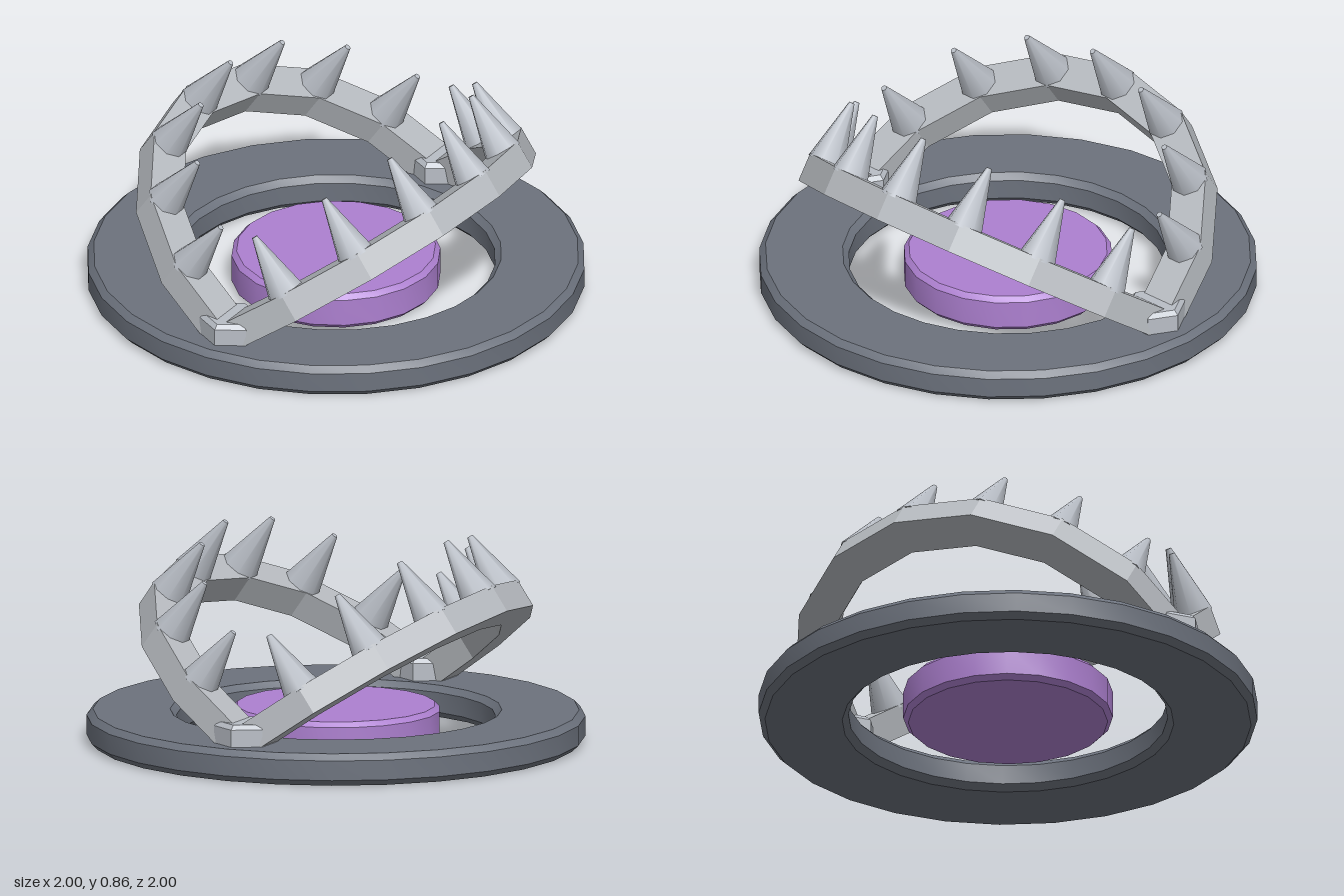
import * as THREE from 'three';
import { toCreasedNormals } from 'three/addons/utils/BufferGeometryUtils.js';

const PIVOT_Y = 0.13, TILT = THREE.MathUtils.degToRad(35);
const JAW_OUTER = 0.895, JAW_INNER = 0.745, JAW_THICK = 0.12, JAW_STEPS = 8;

const material = (name, color) => {
  const m = new THREE.MeshStandardMaterial({ color });
  m.name = name;
  return m;
};

function part(name, geometry, mat, parent) {
  const mesh = new THREE.Mesh(geometry, mat);
  mesh.name = name;
  parent.add(mesh);
  return mesh;
}

// Turned solid from [radius, height] pairs, with sharp bevel edges
function turned(profile, sides) {
  const points = profile.map(([r, y]) => new THREE.Vector2(r, y));
  return toCreasedNormals(new THREE.LatheGeometry(points, sides), 0.5);
}

// Bevelled solid disc
const disc = (r, y0, y1, b, sides) => turned(
  [[0, y0], [r - b, y0], [r, y0 + b], [r, y1 - b], [r - b, y1], [0, y1]], sides);

// Faceted half ring lying flat, bulging towards +x
function jawGeometry() {
  const outer = [], inner = [];
  for (let i = 0; i <= JAW_STEPS; i++) {
    const a = -Math.PI / 2 + (i / JAW_STEPS) * Math.PI;
    outer.push(new THREE.Vector2(Math.cos(a), Math.sin(a)).multiplyScalar(JAW_OUTER));
    inner.unshift(new THREE.Vector2(Math.cos(a), Math.sin(a)).multiplyScalar(JAW_INNER));
  }
  const geo = new THREE.ExtrudeGeometry(new THREE.Shape([...outer, ...inner]),
    { depth: JAW_THICK, bevelEnabled: false });
  return geo.translate(0, 0, -JAW_THICK / 2).rotateX(-Math.PI / 2);
}

export function createModel() {
  const model = new THREE.Group();
  model.name = 'jawTrap';
  const iron = material('dark iron', 0x6c727d);
  const steel = material('light steel', 0xb6babf);
  const toothSteel = material('tooth steel', 0xb9bec6);
  const purple = material('purple plate', 0xad80d0);

  // Base ring
  const b = 0.025;
  part('baseRing', turned([
    [0.64 + b, 0], [1 - b, 0], [1, b], [1, 0.13 - b], [1 - b, 0.13],
    [0.64 + b, 0.13], [0.64, 0.13 - b], [0.64, b], [0.64 + b, 0],
  ], 28), iron, model);

  // Pressure plate
  part('pressurePlate', disc(0.42, 0, 0.152, 0.02, 20), purple, model);

  // Hexagonal hinge posts, front and back
  for (const s of [1, -1]) {
    const post = part(s > 0 ? 'frontHinge' : 'backHinge', disc(0.125, 0.01, 0.218, 0.018, 6), toothSteel, model);
    post.position.z = s * 0.81;
  }

  // Two raised jaws, each with seven teeth on its upper face
  const jaw = jawGeometry();
  const tooth = new THREE.CylinderGeometry(0.012, 0.08, 0.26, 8).rotateY(Math.PI / 8);
  for (const side of ['left', 'right']) {
    const group = new THREE.Group();
    group.name = side + 'Jaw';
    group.position.y = PIVOT_Y;
    group.rotation.set(0, side === 'left' ? 0 : Math.PI, TILT);
    part(side + 'JawArch', jaw, steel, group);
    for (let i = -3; i <= 3; i++) {
      const a = i * Math.PI / 8, r = (JAW_OUTER + JAW_INNER) / 2;
      part(side + 'Tooth', tooth, toothSteel, group)
        .position.set(r * Math.cos(a), 0.18, r * Math.sin(a));
    }
    model.add(group);
  }
  return model;
}
